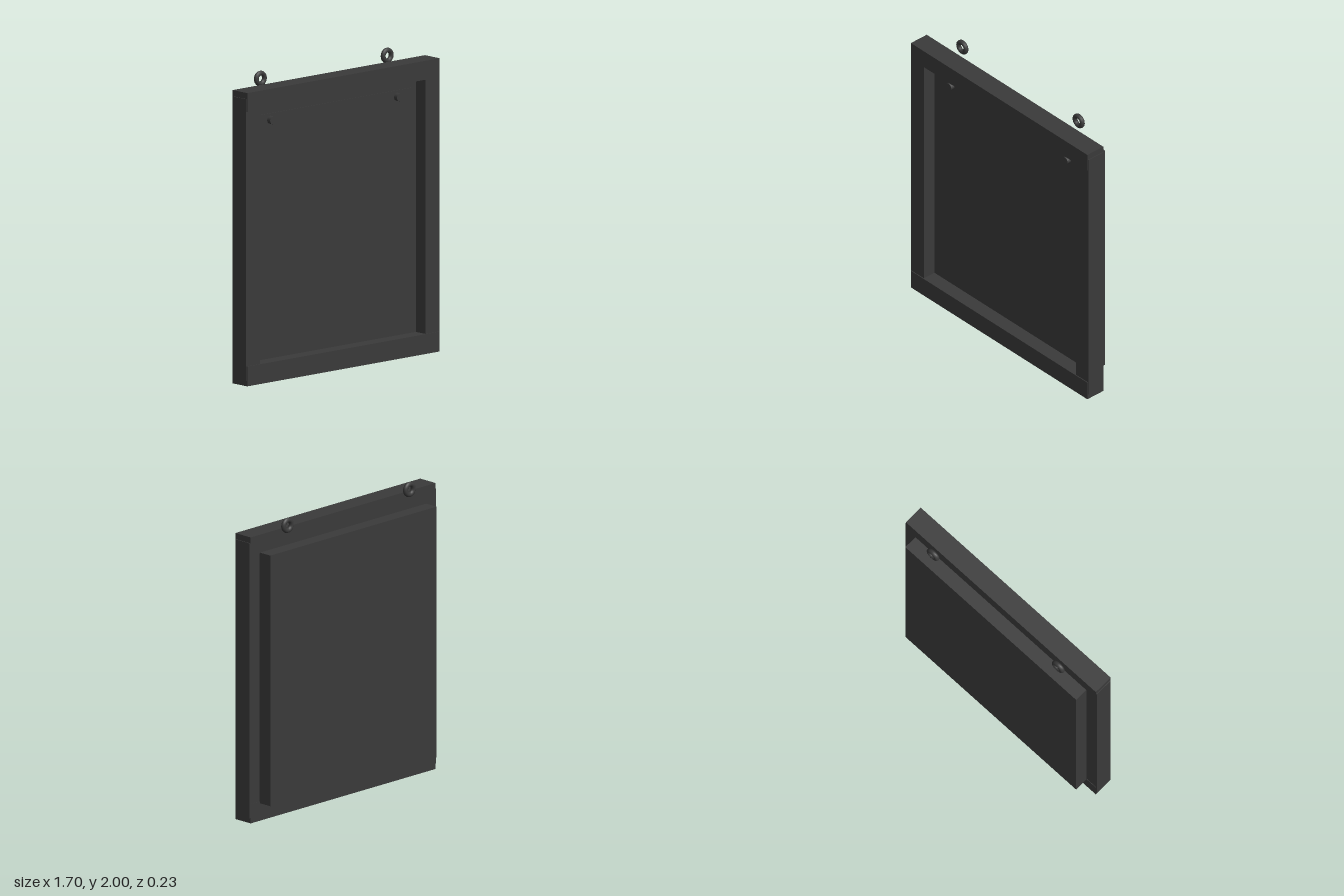
import * as THREE from 'three';

export function createModel() {
  const model = new THREE.Group();
  model.name = 'framedPanel';
  const charcoal = new THREE.MeshStandardMaterial({ color: 0x3a3a3a });
  charcoal.name = 'charcoal';

  const add = (name, geometry, x = 0, y = 0, z = 0) => {
    const mesh = new THREE.Mesh(geometry, charcoal);
    mesh.name = name;
    mesh.position.set(x, y, z);
    model.add(mesh);
    return mesh;
  };
  // box given by its extents on each axis
  const block = (name, x0, x1, y0, y1, z0, z1) =>
    add(name, new THREE.BoxGeometry(x1 - x0, y1 - y0, z1 - z0),
      (x0 + x1) / 2, (y0 + y1) / 2, (z0 + z1) / 2);

  // frame rails run the full width, slightly proud of the stiles
  block('bottomRail', -0.842, 0.842, 0, 0.13, -0.022, 0.116);
  block('topRail', -0.842, 0.842, 1.796, 1.92, -0.022, 0.116);

  // deep backing box, set into the frame, and the raised inner panel
  block('backingBox', -0.757, 0.757, 0.117, 1.8, -0.116, 0.018);
  block('innerPanel', -0.683, 0.683, 0.185, 1.735, 0.01, 0.022);

  for (const [side, s] of [['left', 1], ['right', -1]]) {
    // frame stile
    const inner = s * 0.725, outer = s * 0.848;
    block(side + 'Stile', Math.min(inner, outer), Math.max(inner, outer), 0.035, 1.88, -0.019, 0.11);
    // hanging ring behind the top rail
    add(side + 'HangingRing', new THREE.TorusGeometry(0.035, 0.016, 10, 28), s * 0.555, 1.95, -0.07);
    // round stud on the panel
    const stud = new THREE.CylinderGeometry(0.027, 0.027, 0.04, 8);
    stud.rotateX(Math.PI / 2);
    add(side + 'Stud', stud, s * 0.555, 1.693, 0.03);
  }
  return model;
}
